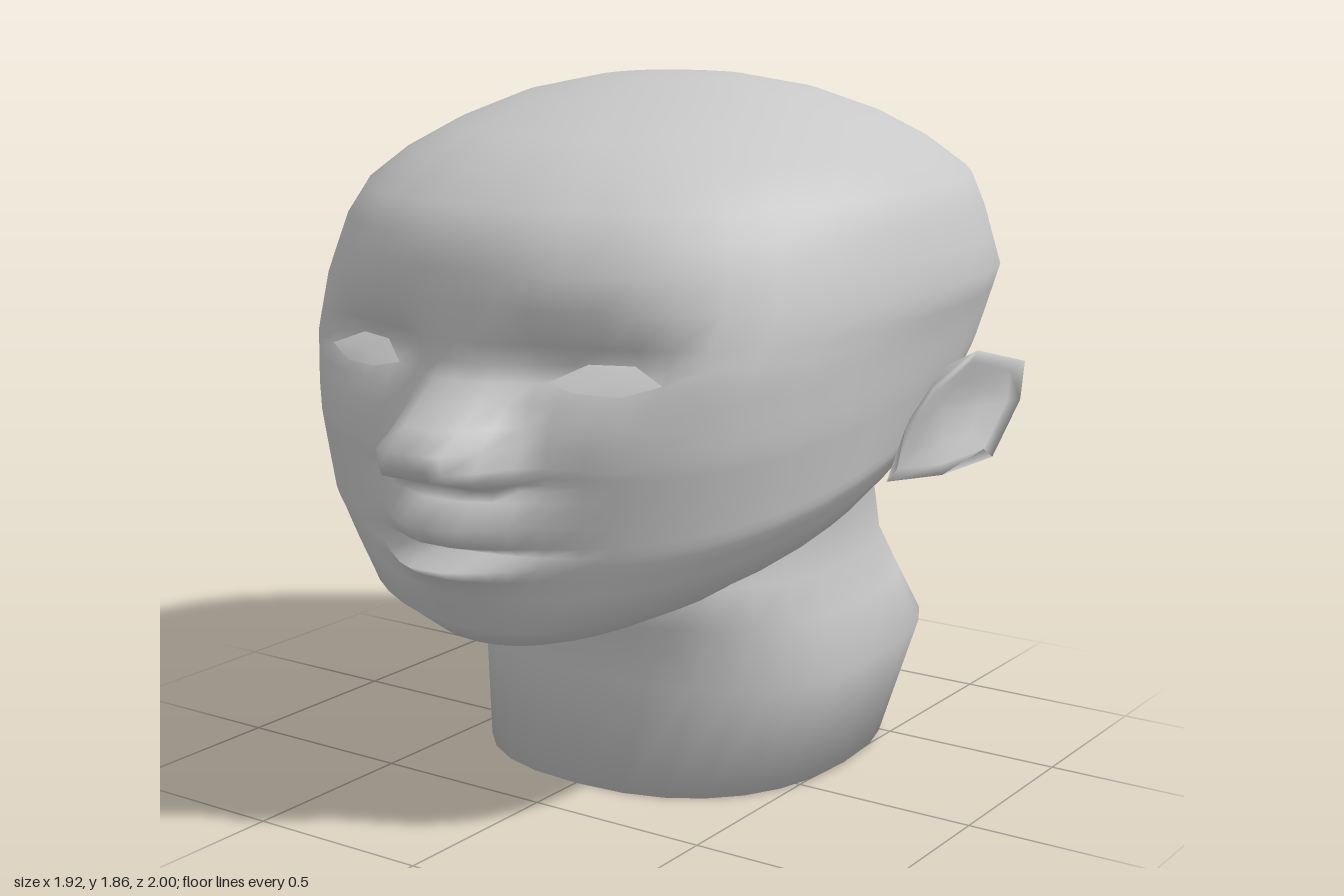
import * as THREE from 'three';
import { mergeVertices } from 'three/addons/utils/BufferGeometryUtils.js';

const V = (x, y, z) => new THREE.Vector3(x, y, z);
const skin = new THREE.MeshStandardMaterial({ color: 0xc8c8c8, side: THREE.DoubleSide });
skin.name = 'clay grey';

// Linear lookup in rows of [t, ...values]
function lookup(table, t) {
  if (t <= table[0][0]) return table[0].slice(1);
  for (let i = 1; i < table.length; i++) {
    const a = table[i - 1], b = table[i];
    if (t <= b[0]) {
      const k = (t - a[0]) / (b[0] - a[0]);
      return a.slice(1).map((v, j) => v + (b[j + 1] - v) * k);
    }
  }
  return table[table.length - 1].slice(1);
}

// Smooth skin over closed rings of equal length
function loft(name, rings) {
  const n = rings[0].length, index = [];
  for (let r = 0; r < rings.length - 1; r++) {
    for (let c = 0; c < n; c++) {
      const d = (c + 1) % n, a = r * n, b = a + n;
      index.push(a + c, a + d, b + d, a + c, b + d, b + c);
    }
  }
  let geo = new THREE.BufferGeometry().setFromPoints(rings.flat());
  geo.setIndex(index);
  geo = mergeVertices(geo, 1e-5);
  geo.computeVertexNormals();
  const mesh = new THREE.Mesh(geo, skin);
  mesh.name = name;
  return mesh;
}

// Head sections: front y, back y, front z, back z, half width, z of widest point, squareness
const headKeys = [
  [0.46, 0.72, 0.34, -0.50, 0.38, 0.00, 2.0],
  [0.50, 0.85, 0.73, -0.69, 0.54, 0.05, 2.0],
  [0.56, 0.91, 0.80, -0.76, 0.66, 0.05, 2.1],
  [0.75, 1.03, 0.80, -0.87, 0.76, 0.05, 2.4],
  [1.00, 1.18, 0.80, -0.99, 0.80, -0.05, 2.75],
  [1.18, 1.26, 0.80, -1.00, 0.82, -0.10, 2.7],
  [1.36, 1.36, 0.80, -0.985, 0.85, -0.15, 2.3],
  [1.51, 1.52, 0.77, -0.92, 0.81, -0.15, 2.15],
  [1.58, 1.61, 0.72, -0.88, 0.775, -0.15, 2.1],
  [1.66, 1.69, 0.62, -0.78, 0.67, -0.14, 2.1],
  [1.73, 1.76, 0.50, -0.66, 0.54, -0.12, 2.05],
  [1.80, 1.82, 0.27, -0.48, 0.39, -0.10, 2.0],
  [1.845, 1.855, 0.08, -0.30, 0.20, -0.10, 2.0],
  [1.86, 1.86, -0.10, -0.10, 0, -0.10, 2.0],
];
const headRows = [0.46, 0.50, 0.56, 0.65, 0.70, 0.735, 0.76, 0.785, 0.84, 0.90, 0.925, 0.942, 0.96,
  0.985, 1.03, 1.08, 1.13, 1.18, 1.22, 1.27, 1.36, 1.44, 1.51, 1.58, 1.66, 1.73, 1.80, 1.845, 1.86];

// Face relief: nose depth with core and outer half widths, lips depth, socket depth
const noseKeys = [[0.90, 0, 0.08, 0.20], [0.925, 0.06, 0.12, 0.20], [0.942, 0.11, 0.13, 0.20],
  [0.96, 0.17, 0.12, 0.21], [0.985, 0.18, 0.11, 0.21], [1.03, 0.20, 0.09, 0.20], [1.20, 0, 0.04, 0.13]];
const lipKeys = [[0.56, 0], [0.65, 0.025], [0.70, 0.08], [0.735, 0.14], [0.76, 0.01], [0.785, 0.09],
  [0.84, 0.15], [0.90, 0.08], [0.942, 0]];
const socketKeys = [[1.0, 0], [1.08, -0.01], [1.18, -0.055], [1.22, -0.10], [1.27, -0.05], [1.36, 0]];
const socketSpan = [[0.08, 0], [0.22, 1], [0.42, 1], [0.60, 0]];

function relief(x, t) {
  const [nose, core, outer] = lookup(noseKeys, t);
  const onNose = THREE.MathUtils.clamp((outer - x) / (outer - core), 0, 1);
  const onLips = THREE.MathUtils.clamp((0.27 - x) / 0.21, 0, 1);
  return Math.max(nose * onNose, lookup(lipKeys, t)[0] * onLips)
    + lookup(socketKeys, t)[0] * lookup(socketSpan, x)[0];
}

// Front surface depth for a fraction u of the half width
function frontZ(u, [, zF, , , zc, n]) {
  return zc + (zF - zc) * Math.pow(1 - Math.pow(u, n), 1 / n);
}

function faceZ(x, y) {
  const key = lookup(headKeys, y);
  return frontZ(x / key[3], key) + relief(x, y);
}

// Close a half ring (front to back on +x) with its mirror image
function mirrorRing(half) {
  return [...half, ...half.slice(1, -1).reverse().map((p) => V(-p.x, p.y, p.z))];
}

const frontSteps = [0, 0.06, 0.12, 0.18, 0.24, 0.32, 0.44, 0.53, 0.62, 0.72, 0.82, 0.91, 0.97, 0.995, 1];

// Sections rise from the chin to the ears, then level off towards the nape
function headRing(t) {
  const key = lookup(headKeys, t), [yB, zF, zB, w, zc] = key;
  const height = (z) => yB + (t - yB) * Math.pow(Math.max(0, (z - zB) / (zF - zB || 1)), 1.6);
  const half = frontSteps.map((u) => {
    const z = frontZ(u, key);
    return V(u * w, height(z), z + (z > 0.3 ? relief(u * w, t) : 0));
  });
  for (let i = 1; i <= 7; i++) {
    const a = i / 7 * Math.PI / 2, z = zc - (zc - zB) * Math.pow(Math.sin(a), 0.9);
    half.push(V(i < 7 ? w * Math.pow(Math.cos(a), 0.9) : 0, height(z), z));
  }
  return mirrorRing(half);
}

// Neck sections: front y, back y, front z, back z, half width, roundness of the back
const neckKeys = [
  [0, 0.01, 0.33, -0.73, 0.52, 0.8],
  [0.28, 0.34, 0.25, -0.82, 0.59, 0.66],
  [0.46, 0.47, 0.32, -0.75, 0.55, 0.72],
  [0.56, 0.60, 0.30, -0.68, 0.525, 0.8],
  [0.72, 0.81, 0.22, -0.68, 0.50, 0.85],
  [0.86, 0.98, 0.15, -0.75, 0.59, 0.9],
];

function neckRing([yF, yB, zF, zB, w, round]) {
  const half = [], zc = -0.2, steps = 14;
  for (let i = 0; i <= steps; i++) {
    const a = i / steps * Math.PI, c = Math.cos(a), e = c > 0 ? 0.85 : round;
    const z = zc + (c > 0 ? zF - zc : zc - zB) * Math.sign(c) * Math.pow(Math.abs(c), e);
    const x = i % steps ? w * Math.pow(Math.sin(a), e) : 0;
    half.push(V(x, yB + (yF - yB) * (z - zB) / (zF - zB), z));
  }
  return mirrorRing(half);
}

// Neck with its underside drawn together at the middle
function neck() {
  const rings = neckKeys.map(neckRing);
  const middle = rings[0].map(() => V(0, 0.005, -0.2));
  return loft('neck', [middle, ...rings]);
}

// Ear: a cupped shell from the skull out to the rim and into the hollow
const earRim = [[0.79, 1.01, 0], [0.74, 0.865, 0], [0.85, 0.88, -0.09], [0.93, 0.915, -0.21],
  [0.955, 1.05, -0.31], [0.96, 1.15, -0.32], [0.89, 1.19, -0.19], [0.82, 1.10, -0.09]];

function ear(name, side) {
  const rim = earRim.map((p) => V(...p));
  const hollow = V(0.825, 1.03, -0.14), root = V(0.72, 1.10, -0.27);
  const toward = (q, k) => rim.map((p) => p.clone().lerp(q, k));
  const rings = [toward(root, 0.8), toward(root, 0.2), rim, toward(hollow, 0.18), toward(hollow, 0.5), toward(hollow, 1)];
  if (side < 0) rings.forEach((r) => { r.forEach((p) => { p.x *= -1; }); r.reverse(); });
  return loft(name, rings);
}

// Eye: a thin almond set between the lids, its lower edge standing forward
const eyeOutline = [[0.23, 1.185, 0.012], [0.31, 1.168, 0.02], [0.42, 1.165, 0.02],
  [0.51, 1.195, 0.012], [0.42, 1.23, 0.006], [0.31, 1.228, 0.006]];

function eye(name, side) {
  const ring = eyeOutline.map(([x, y, lift]) => V(side * x, y, faceZ(x, y) + lift));
  if (side < 0) ring.reverse();
  const middle = V(side * 0.365, 1.197, faceZ(0.365, 1.197) + 0.022);
  return loft(name, [ring, ring.map(() => middle.clone())]);
}

export function createModel() {
  const group = new THREE.Group();
  group.name = 'head bust';
  group.add(
    loft('head', headRows.map(headRing)),
    neck(),
    ear('leftEar', 1), ear('rightEar', -1),
    eye('leftEye', 1), eye('rightEye', -1),
  );
  return group;
}
